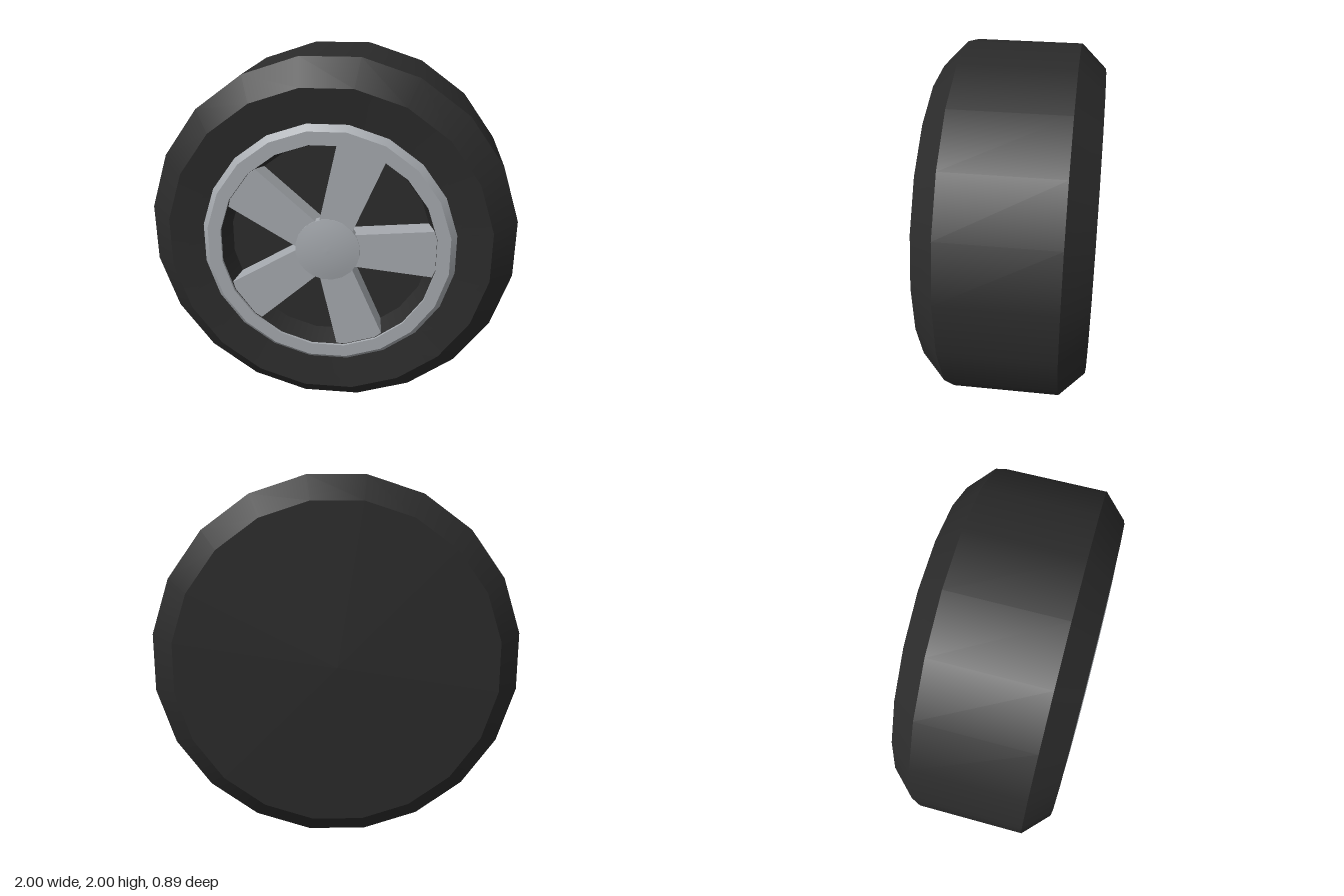
import * as THREE from 'three';
import { mergeGeometries } from 'three/addons/utils/BufferGeometryUtils.js';

const SIDES = 20;
const FLAT = 1 / Math.cos(Math.PI / SIDES); // flat-to-flat radius -> corner radius

// Revolves each profile segment separately around z, so bands are smooth around but sharp between
function revolveBands(profile, sides = SIDES) {
  const bands = [];
  for (let i = 0; i < profile.length - 1; i++) {
    const pts = [profile[i], profile[i + 1]].map(([r, z]) => new THREE.Vector2(r * FLAT, z));
    bands.push(new THREE.LatheGeometry(pts, sides, Math.PI / sides));
  }
  return mergeGeometries(bands).rotateX(Math.PI / 2);
}

export function createModel() {
  const rubber = new THREE.MeshStandardMaterial({ color: 0x2b2b2b });
  rubber.name = 'dark rubber';
  const metal = new THREE.MeshStandardMaterial({ color: 0xa4a8ad });
  metal.name = 'grey metal';

  const wheel = new THREE.Group();
  wheel.name = 'wheel';
  const add = (name, geometry, material) => {
    const mesh = new THREE.Mesh(geometry, material);
    mesh.name = name;
    mesh.position.y = 1;
    wheel.add(mesh);
    return mesh;
  };

  // Tyre: closed back, bevelled tread, front sidewall
  add('tyre', revolveBands([
    [0, -0.445], [0.868, -0.445], [1, -0.305], [1, 0.295], [0.865, 0.43], [0.68, 0.405],
  ]), rubber);

  // Dark recess behind the spokes
  add('wheelWell', revolveBands([[0.58, 0.43], [0.548, 0.3], [0, 0.3]]), rubber);

  // Rim ring with bevelled outer edge
  add('rim', revolveBands([[0.685, 0.402], [0.65, 0.44], [0.58, 0.44], [0.579, 0.425]]), metal);

  // Five flared spokes
  const outline = new THREE.Shape([
    [0.05, -0.083], [0.562, -0.132], [0.578, -0.09], [0.578, 0.09], [0.562, 0.132], [0.05, 0.083],
  ].map(([x, y]) => new THREE.Vector2(x, y)));
  const spokeGeometry = new THREE.ExtrudeGeometry(outline, { depth: 0.125, bevelEnabled: false });
  spokeGeometry.translate(0, 0, 0.298);
  for (let i = 0; i < 5; i++) {
    add('spoke' + (i + 1), spokeGeometry, metal).rotation.z = (i * Math.PI * 2) / 5;
  }

  // Hub cap: short side and a shallow smooth dome
  add('hubSide', revolveBands([[0.174, 0.38], [0.174, 0.428]]), metal);
  const dome = [];
  for (let i = 0; i <= 5; i++) {
    const t = i / 5;
    dome.push(new THREE.Vector2(0.174 * FLAT * (1 - t), 0.428 + 0.017 * (1 - (1 - t) ** 2)));
  }
  add('hubCap', new THREE.LatheGeometry(dome, SIDES, Math.PI / SIDES).rotateX(Math.PI / 2), metal);

  return wheel;
}
